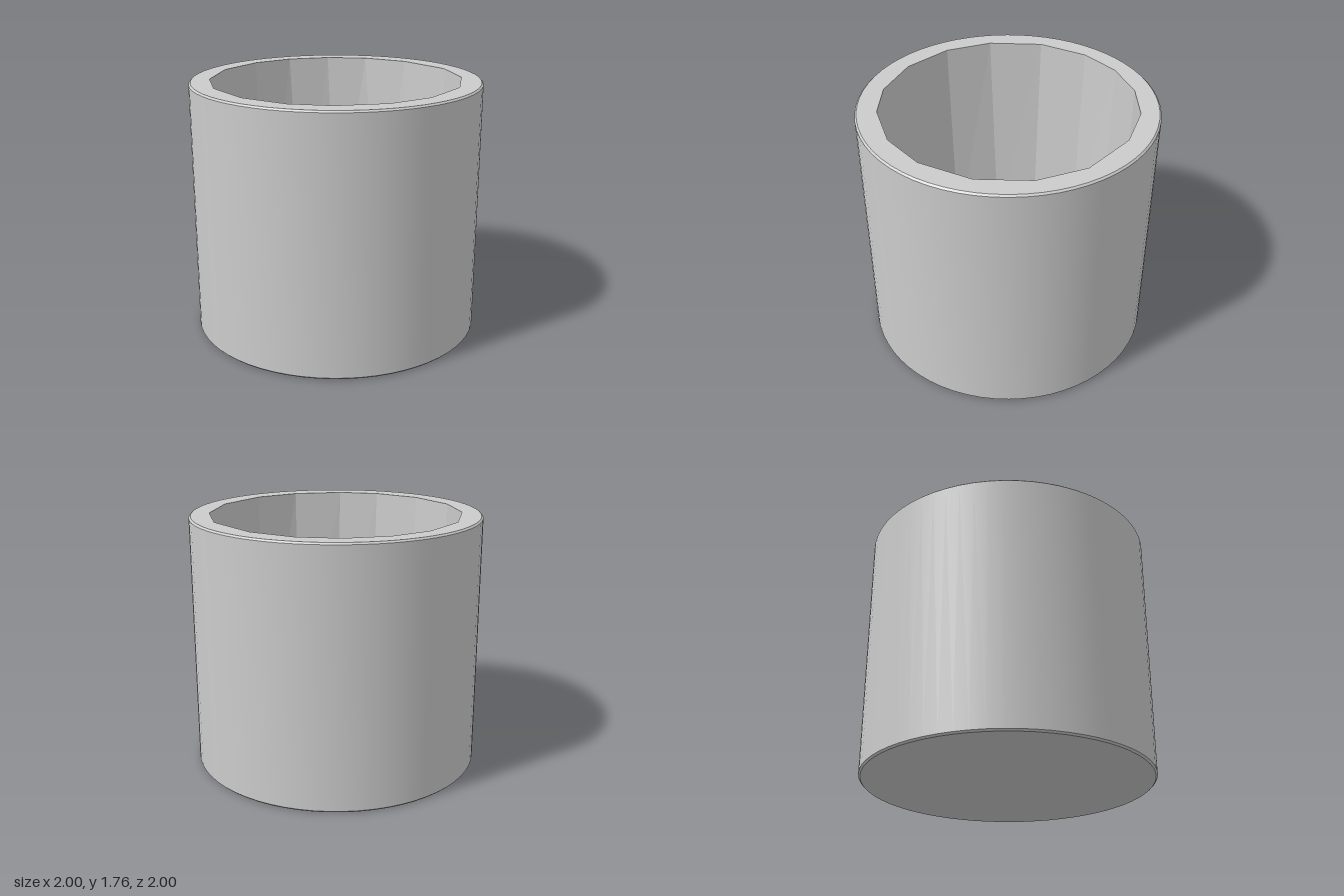
import * as THREE from 'three';
import { toCreasedNormals } from 'three/addons/utils/BufferGeometryUtils.js';

const HEIGHT = 1.76;
const FLOOR = 0.12;
const BEVEL = 0.012;
const SEGMENTS = 64;

// Uneven polygon of the bore, as [x, z], at the lip and at the floor
const LIP = [
  [-0.87, 0], [-0.8, 0.34], [-0.58, 0.64], [-0.3, 0.81], [0.05, 0.86], [0.38, 0.77], [0.61, 0.6], [0.8, 0.31],
  [0.86, 0], [0.78, -0.37], [0.56, -0.66], [0.26, -0.83], [-0.14, -0.85], [-0.45, -0.74], [-0.67, -0.55], [-0.82, -0.29],
];
const BASE = [
  [-0.82, 0], [-0.75, 0.34], [-0.58, 0.58], [-0.3, 0.77], [0.05, 0.82], [0.38, 0.74], [0.61, 0.56], [0.77, 0.3],
  [0.85, 0], [0.75, -0.29], [0.62, -0.59], [0.33, -0.74], [0, -0.82], [-0.3, -0.76], [-0.6, -0.57], [-0.75, -0.33],
];

const toPoints = (ring) => ring.map(([x, z]) => new THREE.Vector2(x, -z));

// Flat upward-facing sheet at height y
function sheet(shape, y) {
  return new THREE.ShapeGeometry(shape, SEGMENTS).rotateX(-Math.PI / 2).translate(0, y, 0);
}

// Inward-facing faceted wall between the two polygons
function boreGeometry() {
  const positions = [];
  LIP.forEach((a, i) => {
    const j = (i + 1) % LIP.length;
    const [b, c, d] = [LIP[j], BASE[j], BASE[i]];
    const corner = ([x, z], y) => [x, y, z];
    const [p, q, r, s] = [corner(a, HEIGHT), corner(b, HEIGHT), corner(c, FLOOR), corner(d, FLOOR)];
    positions.push(...p, ...q, ...r, ...p, ...r, ...s);
  });
  const geometry = new THREE.BufferGeometry();
  geometry.setAttribute('position', new THREE.Float32BufferAttribute(positions, 3));
  geometry.computeVertexNormals();
  return geometry;
}

export function createModel() {
  const group = new THREE.Group();
  group.name = 'cup';
  const smooth = new THREE.MeshStandardMaterial({ color: 0xcccccc });
  const flat = new THREE.MeshStandardMaterial({ color: 0xcccccc, flatShading: true, side: THREE.DoubleSide });
  const add = (name, geometry, material) => {
    const mesh = new THREE.Mesh(geometry, material);
    mesh.name = name;
    group.add(mesh);
  };

  // Outer wall and closed bottom with finely bevelled edges
  const profile = [[0, 0], [1 - BEVEL, 0], [1, BEVEL], [1, HEIGHT - BEVEL], [1 - BEVEL, HEIGHT]];
  const outer = new THREE.LatheGeometry(profile.map(([r, y]) => new THREE.Vector2(r, y)), SEGMENTS);
  add('outerWall', toCreasedNormals(outer, 0.5), smooth);

  // Flat rim between the round outside and the faceted bore
  const rim = new THREE.Shape();
  rim.setFromPoints(Array.from({ length: SEGMENTS }, (_, i) => {
    const a = (i / SEGMENTS) * Math.PI * 2;
    return new THREE.Vector2(Math.cos(a), Math.sin(a)).multiplyScalar(1 - BEVEL);
  }));
  rim.holes.push(new THREE.Path(toPoints(LIP)));
  add('rim', sheet(rim, HEIGHT), smooth);

  // Tapered faceted bore and its floor
  add('innerWall', boreGeometry(), flat);
  add('innerFloor', sheet(new THREE.Shape(toPoints(BASE)), FLOOR), smooth);

  return group;
}
